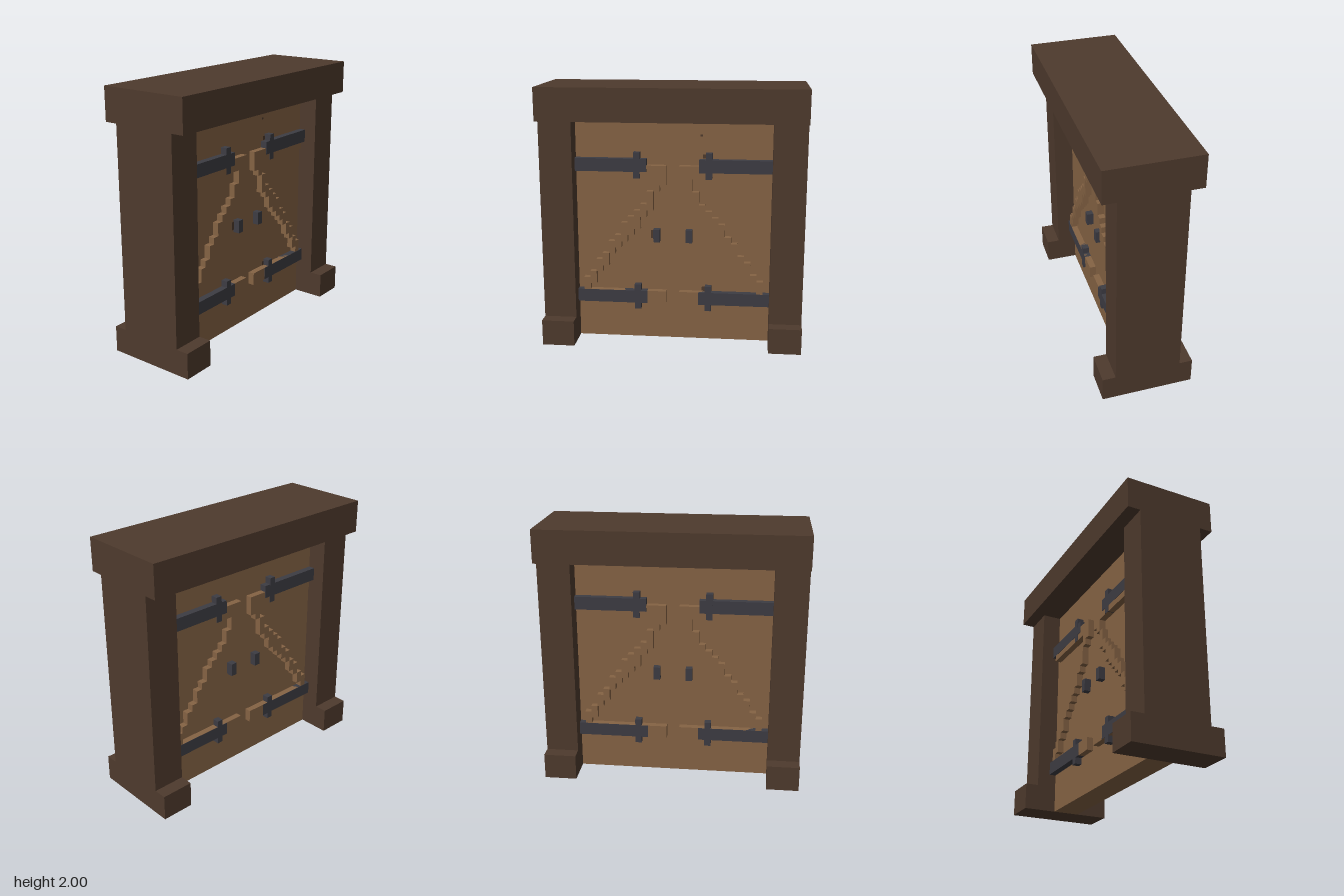
import * as THREE from 'three';

const mat = (name, color) => {
  const m = new THREE.MeshStandardMaterial({ color });
  m.name = name;
  return m;
};

export function createModel() {
  const darkWood = mat('dark wood', 0x4e3a2d);
  const plankWood = mat('plank wood', 0x856344);
  const iron = mat('iron', 0x3d3c43);

  const model = new THREE.Group();
  model.name = 'doubleDoor';

  // Box from x and y ranges, centred on z = 0
  const box = (parent, name, material, x0, x1, y0, y1, depth, z = 0) => {
    const mesh = new THREE.Mesh(new THREE.BoxGeometry(Math.abs(x1 - x0), y1 - y0, depth), material);
    mesh.position.set((x0 + x1) / 2, (y0 + y1) / 2, z);
    mesh.name = name;
    parent.add(mesh);
  };

  // Lintel across the top
  box(model, 'lintel', darkWood, -1, 1, 1.75, 2, 0.7);

  // Stepped diagonal brace: bottom and top heights of each 0.05 wide column
  const bottoms = [0.4, 0.45, 0.55, 0.6, 0.7, 0.75, 0.8, 0.85, 0.9, 1.0, 1.05, 1.2, 1.25];
  const tops = [0.5, 0.55, 0.65, 0.7, 0.8, 0.85, 0.95, 1.0, 1.05, 1.1, 1.2, 1.4, 1.4];
  const braceGeometry = (s) => {
    const x = (i) => s * (0.7 - i * 0.05);
    const points = [];
    bottoms.forEach((y, i) => points.push(new THREE.Vector2(x(i), y), new THREE.Vector2(x(i + 1), y)));
    for (let i = tops.length - 1; i >= 0; i--) {
      points.push(new THREE.Vector2(x(i + 1), tops[i]), new THREE.Vector2(x(i), tops[i]));
    }
    const geometry = new THREE.ExtrudeGeometry(new THREE.Shape(points), { depth: 0.3, bevelEnabled: false });
    return geometry.translate(0, 0, -0.15);
  };

  for (const s of [-1, 1]) {
    const side = s > 0 ? 'left' : 'right';

    // Post with a wider foot
    box(model, side + 'Post', darkWood, s * 0.75, s, 0.2, 1.75, 0.5);
    box(model, side + 'Foot', darkWood, s * 0.75, s, 0, 0.2, 0.7);

    const door = new THREE.Group();
    door.name = side + 'Door';
    model.add(door);
    box(door, 'planks', plankWood, 0, s * 0.75, 0, 1.75, 0.2);

    // Battens and brace run through the panel, so both faces match
    box(door, 'upperBatten', plankWood, s * 0.15, s * 0.7, 1.3, 1.4, 0.3);
    box(door, 'lowerBatten', plankWood, s * 0.05, s * 0.7, 0.3, 0.4, 0.3);
    const brace = new THREE.Mesh(braceGeometry(s), plankWood);
    brace.name = 'diagonalBrace';
    door.add(brace);

    // Iron hinge straps with a cross piece
    for (const y of [0.3, 1.35]) {
      box(door, 'hingeStrap', iron, s * 0.2, s * 0.75, y, y + 0.1, 0.304);
      box(door, 'hingeCross', iron, s * 0.25, s * 0.3, y - 0.05, y + 0.15, 0.306);
    }
    box(door, 'handle', iron, s * 0.1, s * 0.15, 0.8, 0.9, 0.304);
  }

  // Small dark wear marks on the front planks
  const marks = [
    [-0.175, -0.15, 0.82, 0.885], [0.225, 0.25, 1.455, 1.485],
    [0.225, 0.25, 0.4, 0.435], [0.205, 0.225, 1.62, 1.635],
  ];
  for (const [x0, x1, y0, y1] of marks) {
    box(model, 'wearMark', darkWood, x0, x1, y0, y1, 0.004, 0.101);
  }

  return model;
}
